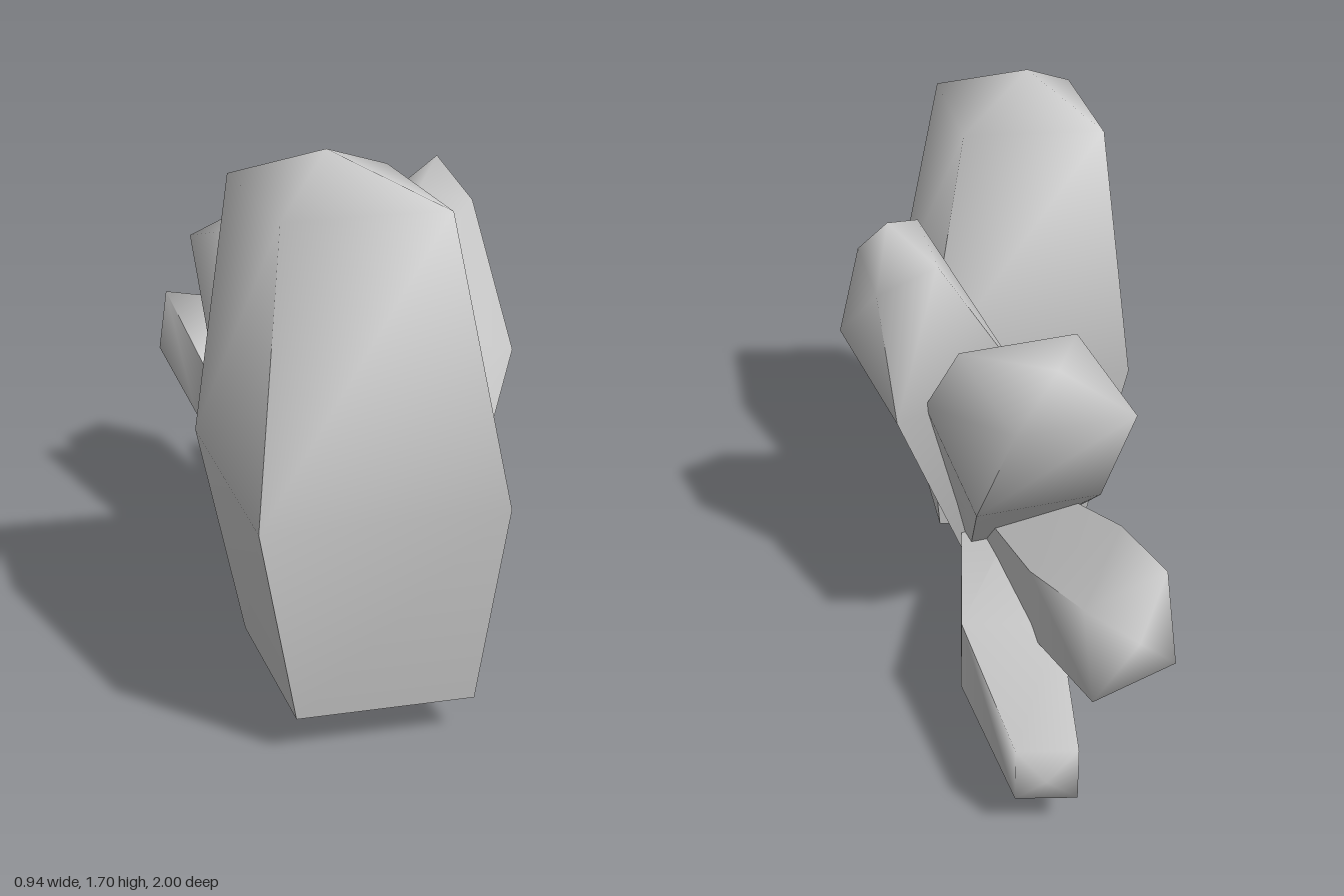
import * as THREE from 'three';

// the crystals are open at the base, so their insides show
const material = new THREE.MeshStandardMaterial({ color: 0xcccccc, side: THREE.DoubleSide });
const vec = (a) => new THREE.Vector3(...a);

// Four-sided crystal: rings from base to shoulder, then a point.
// Each ring is [centre, half width u, half depth v].
function crystal(name, rings, tip) {
  const signs = [[-1, -1], [-1, 1], [1, 1], [1, -1]];
  const [base, middle, shoulder] = rings.map(([c, u, v]) => signs.map(([su, sv]) =>
    vec(c).addScaledVector(vec(u), su).addScaledVector(vec(v), sv)));
  const apex = vec(tip);
  const points = [];
  for (let i = 0; i < 4; i++) {
    const j = (i + 1) % 4;
    // own copies of the middle corners keep the lower edges between sides sharp
    const [mi, mj] = [middle[i].clone(), middle[j].clone()];
    points.push(base[i], base[j], mj, base[i], mj, mi);
    points.push(mi, mj, shoulder[j], mi, shoulder[j], shoulder[i]);
    points.push(shoulder[i], shoulder[j], apex);
  }
  const geometry = new THREE.BufferGeometry().setFromPoints(points);
  geometry.computeVertexNormals();

  // smooth the shading wherever faces share a corner above the base
  const normals = geometry.attributes.normal;
  for (const corner of new Set(points)) {
    if (base.includes(corner)) continue;
    const shared = points.map((p, i) => i).filter((i) => points[i] === corner);
    const sum = new THREE.Vector3();
    shared.forEach((i) => sum.add(new THREE.Vector3().fromBufferAttribute(normals, i)));
    sum.normalize();
    shared.forEach((i) => normals.setXYZ(i, sum.x, sum.y, sum.z));
  }
  const mesh = new THREE.Mesh(geometry, material);
  mesh.name = name;
  return mesh;
}

export function createModel() {
  const group = new THREE.Group();
  group.name = 'crystalCluster';
  group.add(
    // large upright crystal at the front
    crystal('frontCrystal', [
      [[-0.065, 0.14, 0.65], [0.255, 0, 0], [0.03, 0, 0.25]],
      [[-0.10, 0.78, 0.665], [0.338, 0, 0], [0.035, 0, 0.335]],
      [[-0.13, 1.58, 0.675], [0.22, 0, 0], [0.03, 0, 0.225]],
    ], [-0.16, 1.70, 0.69]),
    // crystal leaning to the left
    crystal('sideCrystal', [
      [[0, 0.165, 0.50], [0.13, -0.03, -0.045], [0.07, 0.105, 0.155]],
      [[0.187, 0.94, 0.21], [0.2, -0.05, -0.035], [0.085, 0.07, 0.18]],
      [[0.283, 1.355, 0.08], [0.092, -0.03, -0.03], [0.025, 0.035, 0.09]],
    ], [0.31, 1.48, 0.06]),
    // crystal leaning back
    crystal('middleCrystal', [
      [[-0.02, 0.095, 0.52], [0.12, -0.02, -0.04], [0.04, 0.07, 0.09]],
      [[-0.057, 0.73, -0.045], [0.2, 0.015, -0.065], [0.07, 0.115, 0.14]],
      [[-0.125, 1.152, -0.348], [0.175, -0.008, -0.03], [0.07, 0.054, 0.145]],
    ], [-0.15, 1.23, -0.406]),
    // slender crystal leaning far back
    crystal('upperBackCrystal', [
      [[-0.05, 0.19, 0.40], [0.09, -0.03, -0.025], [0.01, 0.08, 0.03]],
      [[-0.22, 0.525, -0.475], [0.14, -0.05, -0.035], [0.01, 0.105, 0.04]],
      [[-0.31, 0.64, -0.866], [0.12, -0.034, -0.033], [0.01, 0.124, 0.048]],
    ], [-0.32, 0.70, -0.97]),
    // crystal lying almost flat at the back
    crystal('lowerBackCrystal', [
      [[0, 0.13, 0.31], [0.09, -0.005, 0], [0, 0.08, -0.02]],
      [[-0.015, 0.225, -0.425], [0.15, 0.015, -0.01], [0, 0.16, -0.045]],
      [[-0.075, 0.235, -0.965], [0.09, 0.005, 0], [0, 0.09, 0]],
    ], [-0.07, 0.24, -1.0]),
  );
  return group;
}
